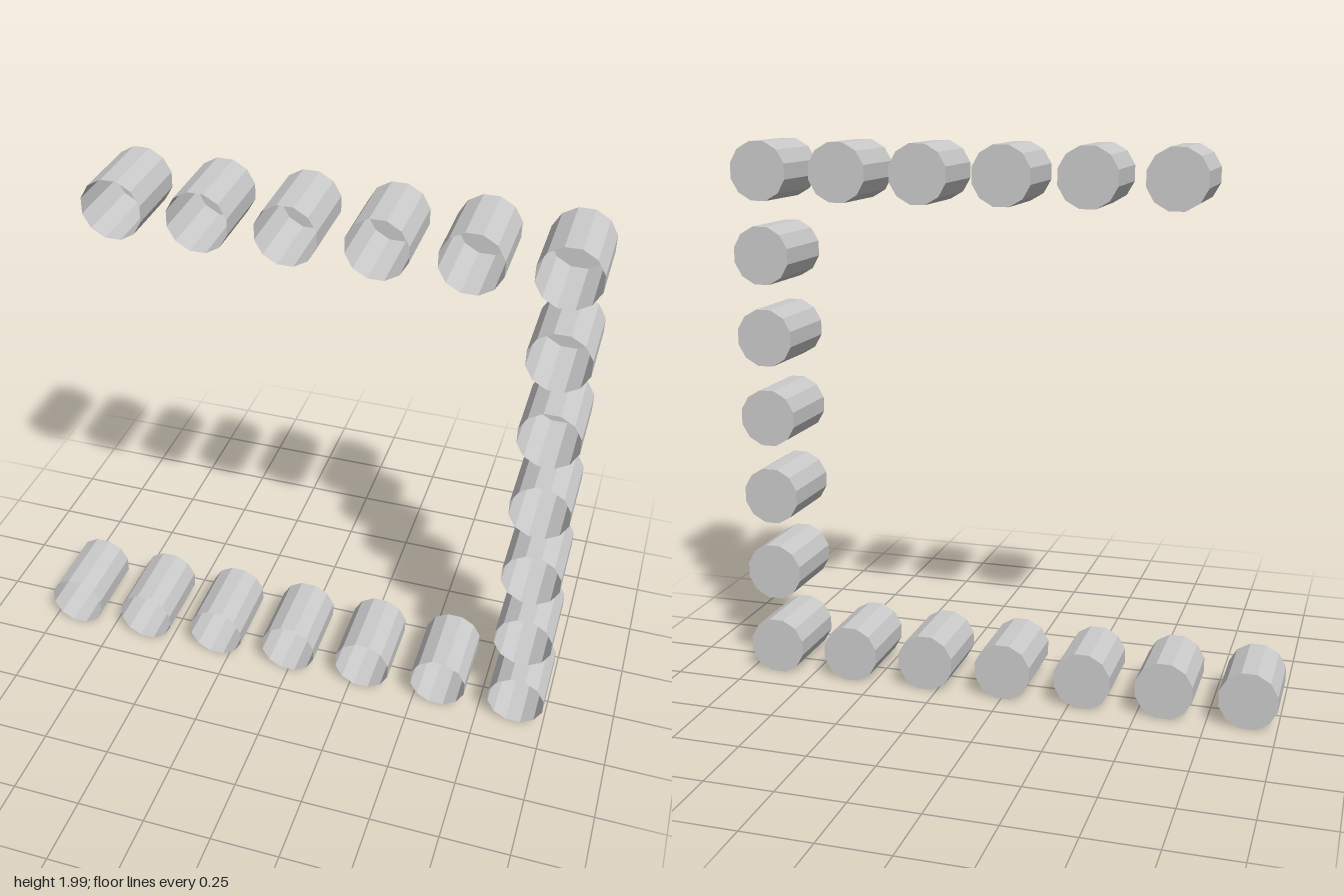
import * as THREE from 'three';

const RADIUS = 0.107, SIDES = 12, DEPTH = 0.275;
const STEP = 0.298, MIDDLE = 1;

export function createModel() {
  const model = new THREE.Group();
  model.name = 'cupFrame';
  const material = new THREE.MeshStandardMaterial({
    color: 0xcccccc, flatShading: true, side: THREE.DoubleSide,
  });

  // Faceted cup wall along z, flats facing up, down and sideways
  const wallGeometry = new THREE.CylinderGeometry(
    RADIUS, RADIUS, DEPTH, SIDES, 1, true, Math.PI / SIDES);
  wallGeometry.rotateX(Math.PI / 2);

  // Closed bottom of the cup, at the back
  const bottomGeometry = new THREE.CircleGeometry(RADIUS, SIDES, Math.PI / SIDES);
  bottomGeometry.rotateY(Math.PI);
  bottomGeometry.translate(0, 0, -DEPTH / 2);

  function addCup(name, column, row) {
    const cup = new THREE.Group();
    cup.name = name;
    const wall = new THREE.Mesh(wallGeometry, material);
    wall.name = 'cupWall';
    const bottom = new THREE.Mesh(bottomGeometry, material);
    bottom.name = 'cupBottom';
    cup.add(wall, bottom);
    cup.position.set(column * STEP - 0.003, MIDDLE + row * STEP + 0.003, 0);
    model.add(cup);
  }

  // Bottom row of seven, top row of six, and the column joining them
  for (let c = -3; c <= 3; c++) addCup('bottomRowCup', c, -3);
  for (let c = -2; c <= 3; c++) addCup('topRowCup', c, 3);
  for (let r = -2; r <= 2; r++) addCup('sideColumnCup', 3, r);

  return model;
}
